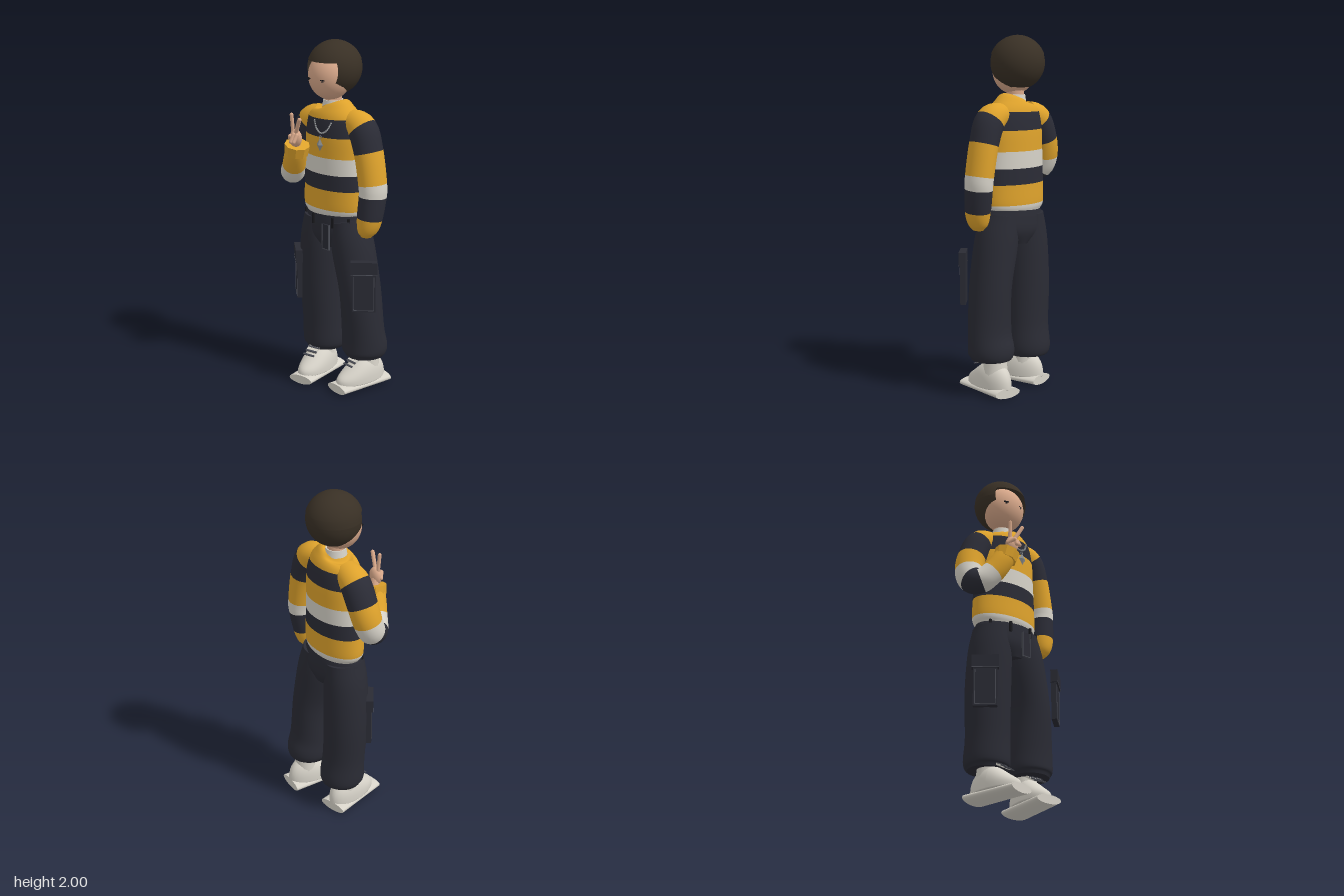
import * as THREE from 'three';

const mat = (name, hex) => {
  const m = new THREE.MeshStandardMaterial({ color: hex, side: THREE.DoubleSide });
  m.name = name;
  return m;
};
const V3 = (x, y, z) => new THREE.Vector3(x, y, z);

export function createModel() {
  const model = new THREE.Group();
  model.name = 'figure';
  const yellow = mat('mustard', 0xdfa32c), navy = mat('navyKnit', 0x2b2c36), cream = mat('cream', 0xd6d2c8);
  const cloth = mat('trouserCloth', 0x2a2b34), hairMat = mat('darkBrownHair', 0x393025), skin = mat('skin', 0xd8a88a);
  const metal = mat('greyMetal', 0x8f9294), trim = mat('greyTrim', 0x4a4c55), black = mat('black', 0x1a1a1e);

  const add = (name, geo, material, pos = [0, 0, 0], rot = [0, 0, 0], parent = model) => {
    const m = new THREE.Mesh(geo, material);
    m.name = name;
    m.position.set(...pos);
    m.rotation.set(...rot);
    parent.add(m);
    return m;
  };
  const box = (name, size, material, pos, rot, parent) =>
    add(name, new THREE.BoxGeometry(...size), material, pos, rot, parent);

  // Elliptical sweep: rows of [x, y, z, rx, rz, material of the next segment]
  const sweep = (name, rows, sides = 32, steps = 5) => {
    const path = new THREE.CatmullRomCurve3(rows.map(r => V3(r[0], r[1], r[2])), false, 'catmullrom', 0.5);
    const radii = new THREE.CatmullRomCurve3(rows.map(r => V3(r[3], r[4], 0)), false, 'catmullrom', 0.5);
    const pos = [], idx = [], mats = [], geo = new THREE.BufferGeometry();
    const rings = (rows.length - 1) * steps;
    let U = null;
    for (let i = 0; i <= rings; i++) {
      const t = i / rings, c = path.getPoint(t), r = radii.getPoint(t), T = path.getTangent(t);
      U = U ? U.addScaledVector(T, -U.dot(T)).normalize() : T.clone().cross(V3(0, 0, 1)).normalize();
      const W = U.clone().cross(T);
      for (let j = 0; j < sides; j++) {
        const a = j / sides * Math.PI * 2;
        const p = c.clone().addScaledVector(U, r.x * Math.cos(a)).addScaledVector(W, r.y * Math.sin(a));
        pos.push(p.x, p.y, p.z);
      }
    }
    for (let s = 0; s < rows.length - 1; s++) {
      const start = idx.length;
      for (let i = s * steps; i < (s + 1) * steps; i++) for (let j = 0; j < sides; j++) {
        const k = (j + 1) % sides, a = i * sides + j, b = i * sides + k;
        idx.push(a, a + sides, b, b, a + sides, b + sides);
      }
      geo.addGroup(start, idx.length - start, s);
      mats.push(rows[s][5]);
    }
    // End caps with their own rings
    for (const end of [0, 1]) {
      const start = idx.length, base = pos.length / 3, c = path.getPoint(end), o = end * rings * sides * 3;
      for (let j = 0; j < sides * 3; j++) pos.push(pos[o + j]);
      pos.push(c.x, c.y, c.z);
      for (let j = 0; j < sides; j++) {
        const k = (j + 1) % sides;
        idx.push(base + sides, base + (end ? k : j), base + (end ? j : k));
      }
      geo.addGroup(start, idx.length - start, end ? rows.length - 2 : 0);
    }
    geo.setAttribute('position', new THREE.Float32BufferAttribute(pos, 3));
    geo.setIndex(idx);
    geo.computeVertexNormals();
    return add(name, geo, mats);
  };

  // Striped sweater body
  sweep('sweaterBody', [
    [-.01, 1.025, -.045, .185, .115, cream], [-.01, 1.065, -.045, .207, .125, yellow],
    [-.01, 1.18, -.045, .205, .125, navy], [-.01, 1.27, -.045, .2, .127, cream],
    [-.01, 1.365, -.045, .195, .127, yellow], [-.01, 1.48, -.045, .19, .125, navy],
    [-.012, 1.58, -.045, .17, .113, yellow], [-.015, 1.63, -.045, .12, .09, yellow],
    [-.022, 1.65, -.045, .06, .06]], 48);
  add('collar', new THREE.CylinderGeometry(.056, .062, .04, 28), cream, [-.023, 1.652, -.045]);
  add('neck', new THREE.CylinderGeometry(.048, .05, .12, 24), skin, [-.025, 1.69, -.045]);

  // Hanging arm with its hand in the pocket, and raised arm
  sweep('leftSleeve', [
    [.09, 1.57, -.055, .065, .07, yellow], [.185, 1.535, -.055, .084, .085, navy],
    [.235, 1.41, -.055, .077, .087, yellow], [.268, 1.235, -.053, .075, .085, cream],
    [.272, 1.165, -.05, .073, .083, navy], [.264, 1.04, -.035, .069, .075, yellow],
    [.255, .97, -.027, .052, .062, yellow], [.252, .935, -.025, .026, .035]]);
  sweep('rightSleeve', [
    [-.1, 1.57, -.05, .065, .07, yellow], [-.19, 1.525, -.05, .083, .085, navy],
    [-.25, 1.41, -.045, .082, .085, yellow], [-.277, 1.315, -.03, .08, .082, cream],
    [-.278, 1.25, .0, .077, .077, navy], [-.25, 1.235, .05, .07, .07, cream],
    [-.2, 1.29, .09, .066, .066, yellow], [-.165, 1.35, .115, .064, .064, yellow],
    [-.14, 1.4, .128, .06, .06]]);
  const cuff = new THREE.CylinderGeometry(.072, .066, .06, 9).toNonIndexed();
  cuff.computeVertexNormals();
  add('rightCuff', cuff, yellow, [-.138, 1.398, .13], [.1, 0, -.25]);

  // Hand making a two-finger sign
  const finger = (name, a, b, r) => {
    const p = V3(...a), d = V3(...b).sub(p), len = d.length();
    const f = add(name, new THREE.CapsuleGeometry(r, len, 4, 10), skin);
    f.position.copy(p).addScaledVector(d, .5);
    f.quaternion.setFromUnitVectors(V3(0, 1, 0), d.normalize());
  };
  finger('wrist', [-.138, 1.41, .135], [-.125, 1.45, .15], .025);
  const palm = add('palm', new THREE.SphereGeometry(1, 16, 12), skin, [-.118, 1.468, .158], [0, 0, -.2]);
  palm.scale.set(.042, .05, .028);
  finger('raisedFinger', [-.135, 1.5, .16], [-.138, 1.6, .168], .0105);
  finger('raisedFinger', [-.108, 1.5, .165], [-.063, 1.585, .182], .0115);
  finger('curledFinger', [-.092, 1.49, .175], [-.094, 1.455, .197], .011);
  finger('curledFinger', [-.113, 1.495, .18], [-.115, 1.455, .198], .011);
  finger('thumb', [-.155, 1.465, .165], [-.128, 1.485, .19], .012);

  // Head and hair
  const face = add('face', new THREE.SphereGeometry(1, 36, 24), skin, [-.032, 1.805, -.028]);
  face.scale.set(.126, .133, .117);
  const R = .152;
  const backHair = new THREE.SphereGeometry(R, 40, 28, 0, Math.PI * 2, 0, 2.27).rotateX(-Math.PI / 2);
  const bp = backHair.attributes.position;
  for (let i = 0; i < bp.count; i++) bp.setY(i, Math.max(bp.getY(i), -.135));
  backHair.computeVertexNormals();
  add('backHair', backHair, hairMat, [-.026, 1.849, -.061]);
  const fringe = add('fringe', new THREE.SphereGeometry(R, 40, 16, 0, Math.PI * 2, 0, 1.26), hairMat, [-.026, 1.848, -.061]);
  fringe.scale.z = 1.04;
  for (const s of [-1, 1]) {
    box('eyelash', [.028, .005, .006], black, [-.04 + s * .052, 1.798, .078], [0, s * .35, 0]);
    box('eye', [.012, .008, .005], black, [-.04 + s * .052, 1.791, .078], [0, s * .35, 0]);
  }

  // Necklace of beads with a faceted pendant
  const chain = new THREE.CatmullRomCurve3([V3(-.058, 1.565, .068), V3(-.035, 1.525, .078),
    V3(.008, 1.505, .086), V3(.045, 1.525, .078), V3(.065, 1.565, .066)]);
  chain.getSpacedPoints(17).forEach(p =>
    add('chainBead', new THREE.SphereGeometry(.0055, 8, 6), metal, p.toArray()));
  const pendant = add('pendant', new THREE.OctahedronGeometry(1), metal, [.01, 1.442, .098]);
  pendant.scale.set(.024, .036, .014);
  add('pendantRing', new THREE.TorusGeometry(.007, .002, 6, 14), metal, [.01, 1.484, .093]);

  // Wide trousers
  sweep('trouserHips', [[0, 1.045, -.045, .185, .115, cloth], [0, .98, -.045, .207, .124, cloth],
    [.005, .91, -.045, .205, .125, cloth], [.01, .84, -.045, .09, .1]], 40);
  sweep('rightTrouserLeg', [[-.1, 1, -.045, .1, .115, cloth], [-.11, .85, -.045, .123, .126, cloth],
    [-.118, .6, -.05, .13, .126, cloth], [-.11, .36, -.058, .126, .12, cloth],
    [-.107, .22, -.068, .13, .128, cloth], [-.107, .175, -.068, .11, .108]]);
  sweep('leftTrouserLeg', [[.1, 1, -.045, .1, .115, cloth], [.13, .85, -.045, .12, .126, cloth],
    [.182, .6, -.05, .113, .126, cloth], [.198, .36, -.06, .126, .118, cloth],
    [.2, .245, -.073, .132, .13, cloth], [.2, .2, -.073, .112, .112]]);

  // Belt loops, belt tail and front pocket seams
  for (const [x, z] of [[-.165, .028], [-.06, .078], [.085, .075], [.165, .03]])
    box('beltLoop', [.014, .06, .012], black, [x, 1.0, z], [0, x * 2, 0]);
  box('beltTail', [.05, .145, .01], cloth, [.045, .913, .087]);
  for (const s of [-1, 1]) box('beltTailEdge', [.004, .145, .012], trim, [.045 + s * .025, .913, .087]);
  box('beltTailEnd', [.054, .004, .012], trim, [.045, .84, .087]);
  box('pocketSeam', [.004, .06, .006], trim, [-.15, .965, .043], [0, -.5, -.5]);

  // Cargo pockets
  for (const [name, s, x, y, z] of [['rightCargoPocket', -1, -.213, .64, .045], ['leftCargoPocket', 1, .297, .67, .045]]) {
    const g = new THREE.Group();
    g.name = name;
    g.position.set(x, y, z);
    g.rotation.y = s * .72;
    model.add(g);
    box('pocketBag', [.132, .28, .03], cloth, [0, -.01, 0], [0, 0, 0], g);
    box('pocketFlap', [.15, .075, .04], cloth, [0, .108, .003], [0, 0, 0], g);
    box('flapEdge', [.15, .004, .005], trim, [0, .073, .022], [0, 0, 0], g);
    for (const e of [-1, 1]) box('pocketEdge', [.004, .2, .005], trim, [e * .056, -.04, .015], [0, 0, 0], g);
    box('pocketEdge', [.112, .004, .005], trim, [0, -.14, .015], [0, 0, 0], g);
  }

  // Shoes with lens-shaped platform soles
  const upper = new THREE.SphereGeometry(1, 28, 20);
  const up = upper.attributes.position;
  for (let i = 0; i < up.count; i++) {
    const x = up.getX(i), y = up.getY(i), z = up.getZ(i);
    const h = THREE.MathUtils.lerp(.15, .075, THREE.MathUtils.smoothstep(z, -.3, .9));
    up.setXYZ(i, x * .085, .048 + Math.sign(y) * Math.pow(Math.abs(y), .8) * (y > 0 ? h : .015), z * .168);
  }
  upper.computeVertexNormals();
  for (const [name, x, z, turn] of [['rightShoe', -.1, .012, .16], ['leftShoe', .188, -.042, -.13]]) {
    const g = new THREE.Group();
    g.name = name;
    g.position.set(x, 0, z);
    g.rotation.y = turn;
    model.add(g);
    const sole = new THREE.CylinderGeometry(.078, .086, .345, 20).rotateX(Math.PI / 2);
    add('sole', sole, cream, [0, .028, 0], [0, 0, 0], g).scale.y = .33;
    add('upper', upper, cream, [0, 0, -.008], [0, 0, 0], g);
    add('ankle', new THREE.CylinderGeometry(.06, .072, .12, 20), cream, [0, .17, -.06], [0, 0, 0], g);
    box('tongue', [.07, .012, .09], cream, [0, .185, .025], [.5, 0, 0], g);
    for (let i = 0; i < 3; i++)
      box('lace', [.075, .007, .01], trim, [0, .185 - i * .016, .038 + i * .024], [.55, 0, 0], g);
  }
  return model;
}
